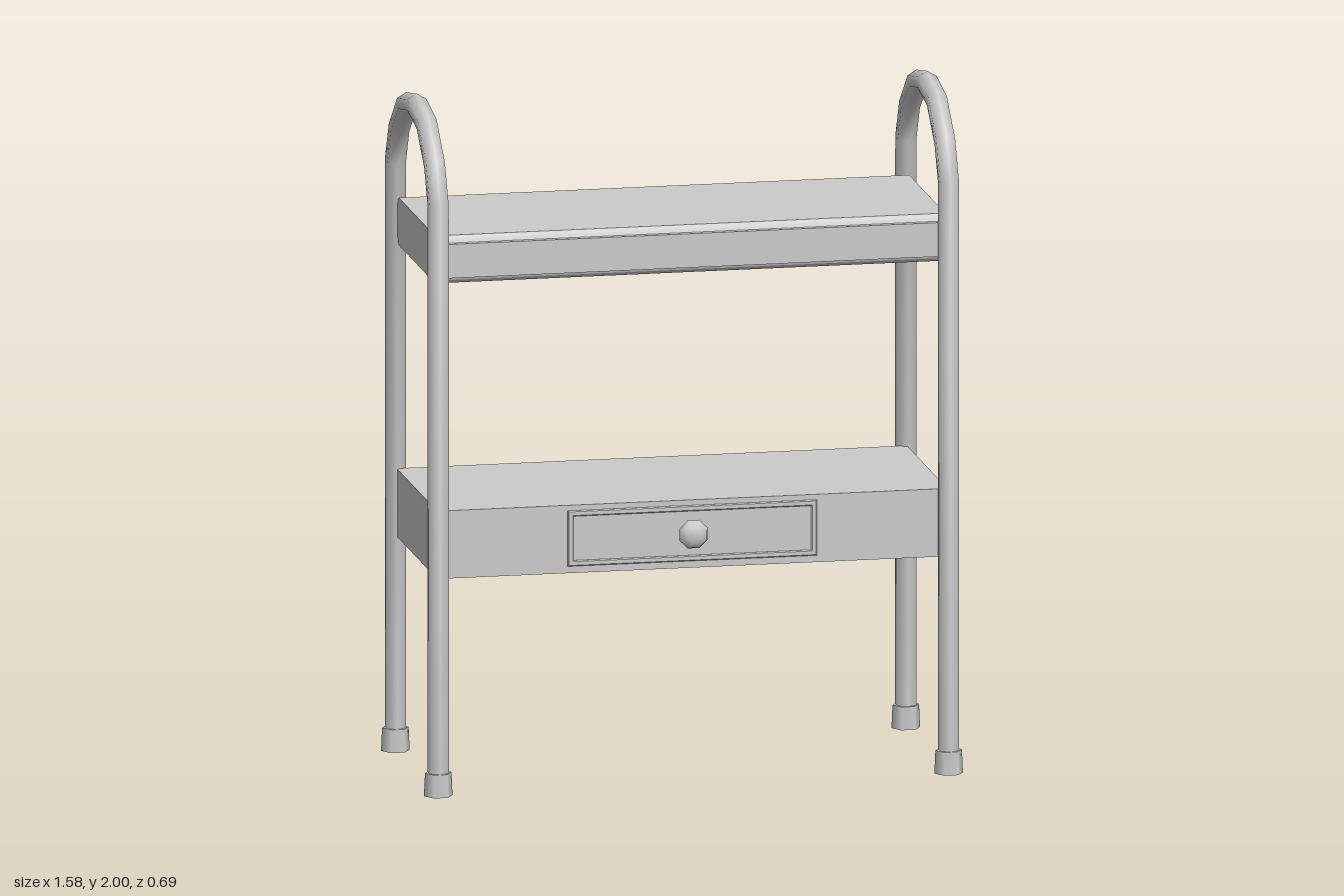
import * as THREE from 'three';

const material = new THREE.MeshStandardMaterial({ color: 0xcccccc });
const LEG_X = 0.75, LEG_Z = 0.307;

// Polyline path whose sample points fall exactly on its corners
class Polyline extends THREE.Curve {
  constructor(points) { super(); this.points = points; }
  getPoint(t) {
    const n = this.points.length - 1;
    const i = Math.min(Math.floor(t * n + 1e-6), n - 1);
    return this.points[i].clone().lerp(this.points[i + 1], t * n - i);
  }
  getPointAt(t) { return this.getPoint(t); }
  getTangentAt(t) {
    const n = this.points.length - 1, i = Math.round(t * n), p = this.points;
    const dir = (a) => p[a + 1].clone().sub(p[a]).normalize();
    return dir(Math.max(i - 1, 0)).add(dir(Math.min(i, n - 1))).normalize();
  }
}

export function createModel() {
  const group = new THREE.Group();
  const add = (name, geometry, x = 0, y = 0, z = 0) => {
    const mesh = new THREE.Mesh(geometry, material);
    mesh.name = name;
    mesh.position.set(x, y, z);
    group.add(mesh);
    return mesh;
  };

  // Hexagonal tube side frames: two legs joined by an arched handle
  const half = [[LEG_Z, 0.01], [LEG_Z, 1.738], [0.253, 1.849], [0.14, 1.945]];
  const outline = [...half, [0, 1.971], ...half.map(([z, y]) => [-z, y]).reverse()];
  const path = new Polyline(outline.map(([z, y]) => new THREE.Vector3(0, y, z)));
  const frame = new THREE.TubeGeometry(path, outline.length - 1, 0.032, 6, false);

  // Rubber feet, corners pointing along x
  const foot = new THREE.CylinderGeometry(0.039, 0.042, 0.068, 6);
  foot.rotateY(Math.PI / 2);

  for (const side of [1, -1]) {
    const label = side > 0 ? 'left' : 'right';
    add(label + 'SideFrame', frame, side * LEG_X);
    add(label + 'FrontFoot', foot, side * LEG_X, 0.034, LEG_Z);
    add(label + 'BackFoot', foot, side * LEG_X, 0.034, -LEG_Z);
  }

  // Upper shelf: moulded long edges, profile in (z, y) swept along x
  const edge = [[0.29, 0.05], [0.272, 0.05], [0.268, 0.06], [0.258, 0.07]];
  const top = [...edge, ...edge.map(([z, y]) => [-z, y]).reverse()];
  const profile = [...top, ...top.map(([z, y]) => [-z, -y])];
  const shelf = new THREE.ExtrudeGeometry(
    new THREE.Shape(profile.map(([z, y]) => new THREE.Vector2(z, y))),
    { depth: LEG_X * 2, bevelEnabled: false });
  shelf.translate(0, 0, -LEG_X).rotateY(Math.PI / 2);
  add('upperShelf', shelf, 0, 1.57);

  // Lower box holding the drawer
  add('drawerBox', new THREE.BoxGeometry(LEG_X * 2, 0.2, 0.58), 0, 0.735);

  // Thin raised moulding outlining the drawer front
  const rectangle = (w, h) => [[-w, -h], [w, -h], [w, h], [-w, h]]
    .map(([x, y]) => new THREE.Vector2(x, y));
  const moulding = new THREE.Shape(rectangle(0.363, 0.079));
  moulding.holes.push(new THREE.Path(rectangle(0.352, 0.068).reverse()));
  add('drawerMoulding', new THREE.ExtrudeGeometry(moulding, {
    depth: 0.003, bevelThickness: 0.003, bevelSize: 0.003, bevelSegments: 1,
  }), 0, 0.737, 0.288);

  // Flattened round knob
  const knob = new THREE.SphereGeometry(0.045, 8, 6);
  knob.rotateX(Math.PI / 2).rotateZ(Math.PI / 8).scale(1, 1, 0.6);
  add('drawerKnob', knob, 0, 0.738, 0.309);

  return group;
}
